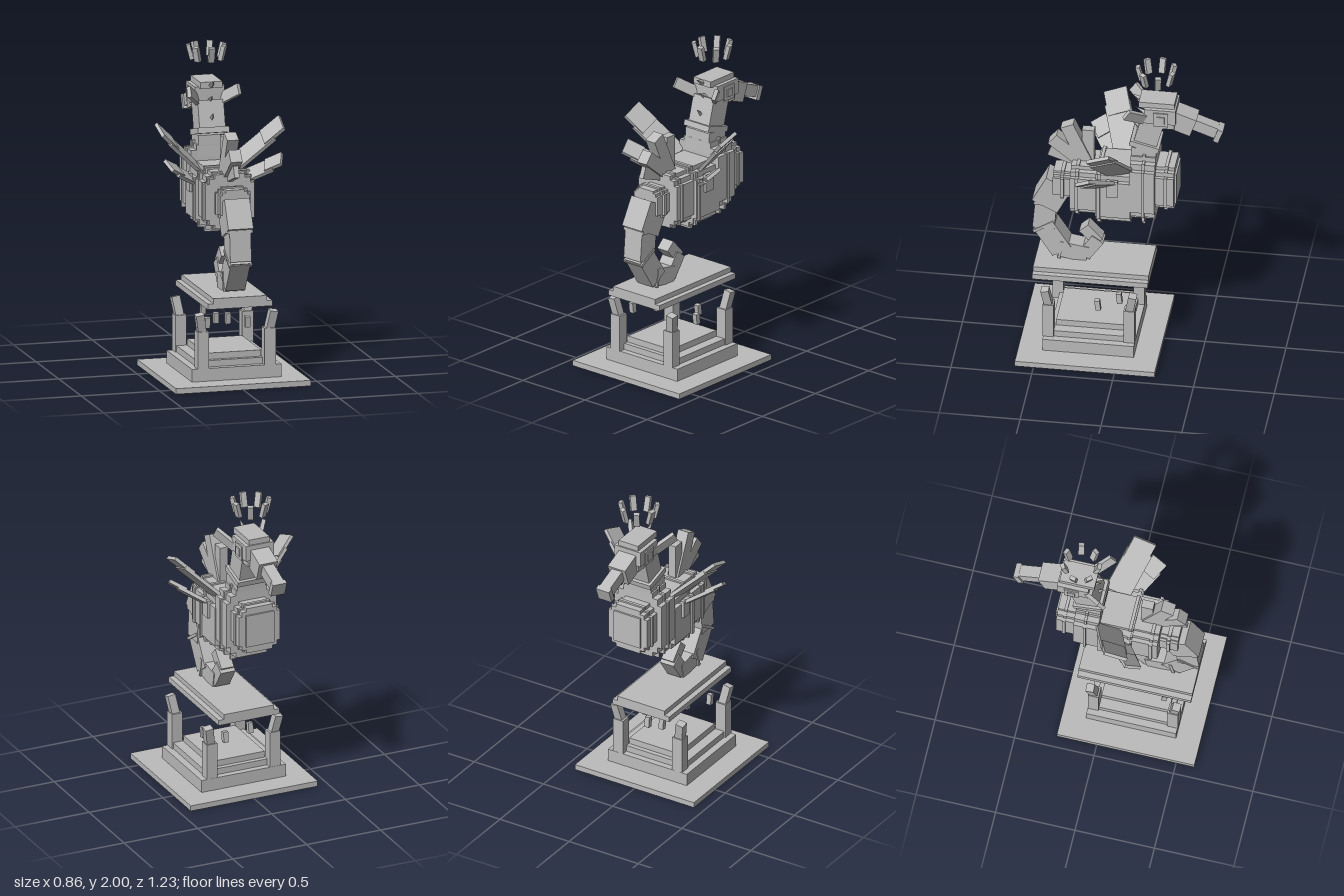
import * as THREE from 'three';

export function createModel() {
  const model = new THREE.Group();
  const stone = new THREE.MeshStandardMaterial({ color: 0xbcbcbc });
  stone.name = 'pale grey';
  const V = (x, y, z) => new THREE.Vector3(x, y, z);

  function add(name, geo) {
    const m = new THREE.Mesh(geo, stone);
    m.name = name;
    model.add(m);
    return m;
  }
  // Box given by its extents, centred on x = 0 unless shifted
  function block(name, halfX, y0, y1, z0, z1, cx = 0) {
    const m = add(name, new THREE.BoxGeometry(halfX * 2, y1 - y0, z1 - z0));
    m.position.set(cx, (y0 + y1) / 2, (z0 + z1) / 2);
    return m;
  }
  // Box running from p to q; `wide` is measured along ref, `thick` across it
  function beam(name, p, q, wide, thick, ref = V(1, 0, 0)) {
    const d = q.clone().sub(p), len = d.length();
    d.normalize();
    const s = ref.clone().addScaledVector(d, -ref.dot(d)).normalize();
    const t = s.clone().cross(d);
    const m = add(name, new THREE.BoxGeometry(wide, len, thick));
    m.quaternion.setFromRotationMatrix(new THREE.Matrix4().makeBasis(s, d, t));
    m.position.copy(p).add(q).multiplyScalar(0.5);
    return m;
  }
  // Stepped, rounded cross-section built from three nested boxes
  function section(name, halfX, y0, y1, z0, z1) {
    const c = (y0 + y1) / 2, h = (y1 - y0) / 2;
    for (const [kx, ky] of [[1, 0.66], [0.84, 0.85], [0.62, 1]])
      block(name, halfX * kx, c - h * ky, c + h * ky, z0, z1);
  }

  // Plinth
  block('basePlate', 0.43, 0, 0.035, -0.25, 0.615);
  block('baseStep', 0.285, 0.035, 0.115, -0.1, 0.465);
  block('baseTier', 0.24, 0.115, 0.155, -0.06, 0.425);
  block('baseTop', 0.175, 0.155, 0.195, -0.03, 0.395);
  for (const s of [-1, 1])
    for (const [z, o] of [[-0.065, -1], [0.435, 1]]) {
      block('post', 0.036, 0.115, 0.345, z - 0.034, z + 0.034, s * 0.213);
      beam('postTip', V(s * 0.215, 0.335, z), V(s * 0.236, 0.455, z + o * 0.022), 0.052, 0.05);
    }
  for (const [x, y, z] of [[-0.16, 0.38, 0.365], [-0.07, 0.38, 0.245], [0.16, 0.32, 0.14],
    [0.07, 0.32, 0.02], [-0.07, 0.38, -0.04]])
    block('floatingShard', 0.016, y - 0.034, y + 0.034, z - 0.016, z + 0.016, x).rotation.x = 0.12;
  block('platformLower', 0.205, 0.5, 0.535, -0.175, 0.54);
  block('platformUpper', 0.17, 0.535, 0.567, -0.175, 0.54);

  // Body, from tail root to chest
  section('tailRoot', 0.095, 1.03, 1.215, 0.3, 0.43);
  section('tailRootRing', 0.11, 1.02, 1.225, 0.36, 0.382);
  section('rearBody', 0.155, 0.95, 1.29, 0.15, 0.315);
  section('rearRib', 0.165, 0.94, 1.3, 0.262, 0.283);
  section('midBody', 0.175, 0.915, 1.3, -0.06, 0.155);
  section('midRib', 0.185, 0.9, 1.31, 0.125, 0.145);
  section('foreBody', 0.17, 0.95, 1.4, -0.21, -0.055);
  section('foreRib', 0.18, 0.915, 1.415, -0.147, -0.13);
  section('chest', 0.14, 1.025, 1.325, -0.325, -0.21);
  section('chestRib', 0.148, 1.015, 1.335, -0.285, -0.265);
  block('chestPlate', 0.095, 1.07, 1.28, -0.337, -0.32);

  // Curled tail: z, y along the curve, then x width and thickness
  const tail = [
    [0.4, 1.115, 0.16, 0.175], [0.475, 0.97, 0.135, 0.135], [0.49, 0.8, 0.125, 0.135],
    [0.385, 0.635, 0.11, 0.11], [0.235, 0.61, 0.1, 0.085], [0.165, 0.71, 0.085, 0.075],
    [0.235, 0.785, 0.07, 0.06]];
  for (let i = 0; i < tail.length - 1; i++) {
    const [z, y, w, t] = tail[i], [z2, y2] = tail[i + 1];
    const p = V(0, y, z), q = V(0, y2, z2);
    const d = q.clone().sub(p).normalize();
    beam('tailSegment', p.clone().addScaledVector(d, -0.015), q.clone().addScaledVector(d, 0.015), w, t);
    if (i > 0 && i < 4)
      beam('tailRing', p.clone().addScaledVector(d, -0.009), p.clone().addScaledVector(d, 0.009), w + 0.022, t + 0.012);
  }

  // Neck
  beam('neckBase', V(0, 1.32, -0.13), V(0, 1.455, -0.135), 0.19, 0.155);
  beam('neckRing', V(0, 1.45, -0.132), V(0, 1.485, -0.141), 0.2, 0.185);
  beam('neck', V(0, 1.46, -0.135), V(0, 1.645, -0.185), 0.165, 0.145);

  // Head and snout
  block('head', 0.095, 1.645, 1.745, -0.33, -0.135);
  block('jaw', 0.075, 1.6, 1.65, -0.32, -0.135);
  block('headTop', 0.07, 1.74, 1.78, -0.32, -0.1);
  beam('snoutBase', V(0, 1.66, -0.3), V(0, 1.61, -0.435), 0.125, 0.125);
  beam('snoutTube', V(0, 1.63, -0.41), V(0, 1.565, -0.585), 0.075, 0.075);
  beam('snoutTip', V(0, 1.562, -0.57), V(0, 1.55, -0.602), 0.095, 0.092);
  for (const s of [-1, 1]) {
    block('eyeFrame', 0.004, 1.633, 1.727, -0.285, -0.193, s * 0.099);
    block('eye', 0.004, 1.656, 1.704, -0.263, -0.215, s * 0.106);
    beam('earFin', V(s * 0.08, 1.665, -0.14), V(s * 0.16, 1.74, -0.035), 0.07, 0.025, V(0, 1, -0.6));
  }

  // Small spikes down the nape
  function spike(name, y, z, h, tilt) {
    const m = add(name, new THREE.ConeGeometry(0.02, h, 4).toNonIndexed());
    m.geometry.computeVertexNormals();
    m.position.set(0, y, z);
    m.rotation.x = tilt;
  }
  spike('crownSpike', 1.775, -0.075, 0.075, 1.05);
  spike('headSpike', 1.675, -0.105, 0.09, 1.0);
  spike('neckSpike', 1.565, -0.08, 0.09, 0.8);

  // Floating crown
  for (let i = 0; i < 7; i++) {
    const a = (i / 7) * Math.PI * 2, x = Math.sin(a), z = Math.cos(a);
    beam('crownShard', V(x * 0.092, 1.903, -0.2 + z * 0.092), V(x * 0.116, 1.996, -0.2 + z * 0.116),
      0.038, 0.026, V(z, 0, -x));
  }

  // Side fins: each a panel with a narrower tip overlapping it
  function fin(p, q, width) {
    const ref = V(0, -0.3, 1);
    const up = V(0, 0.012, 0);
    beam('finPanel', p, p.clone().lerp(q, 0.8), width, 0.022, ref);
    beam('finTip', p.clone().lerp(q, 0.6).add(up), q.clone().add(up), width * 0.9, 0.022, ref);
  }
  for (const s of [-1, 1]) {
    fin(V(s * 0.12, 1.28, 0.0), V(s * 0.39, 1.535, 0.11), 0.165);
    fin(V(s * 0.14, 1.2, 0.06), V(s * 0.36, 1.33, 0.21), 0.12);
    block('finMount', 0.012, 1.14, 1.255, 0.015, 0.085, s * 0.18);
  }

  // Dorsal fan
  for (const [z, y, w, t] of [[0.46, 1.335, 0.032, 0.075], [0.44, 1.43, 0.075, 0.085],
    [0.35, 1.535, 0.075, 0.085], [0.22, 1.51, 0.052, 0.075]])
    beam('dorsalPlate', V(0, 1.25, 0.22), V(0, y, z), w, t);

  return model;
}
